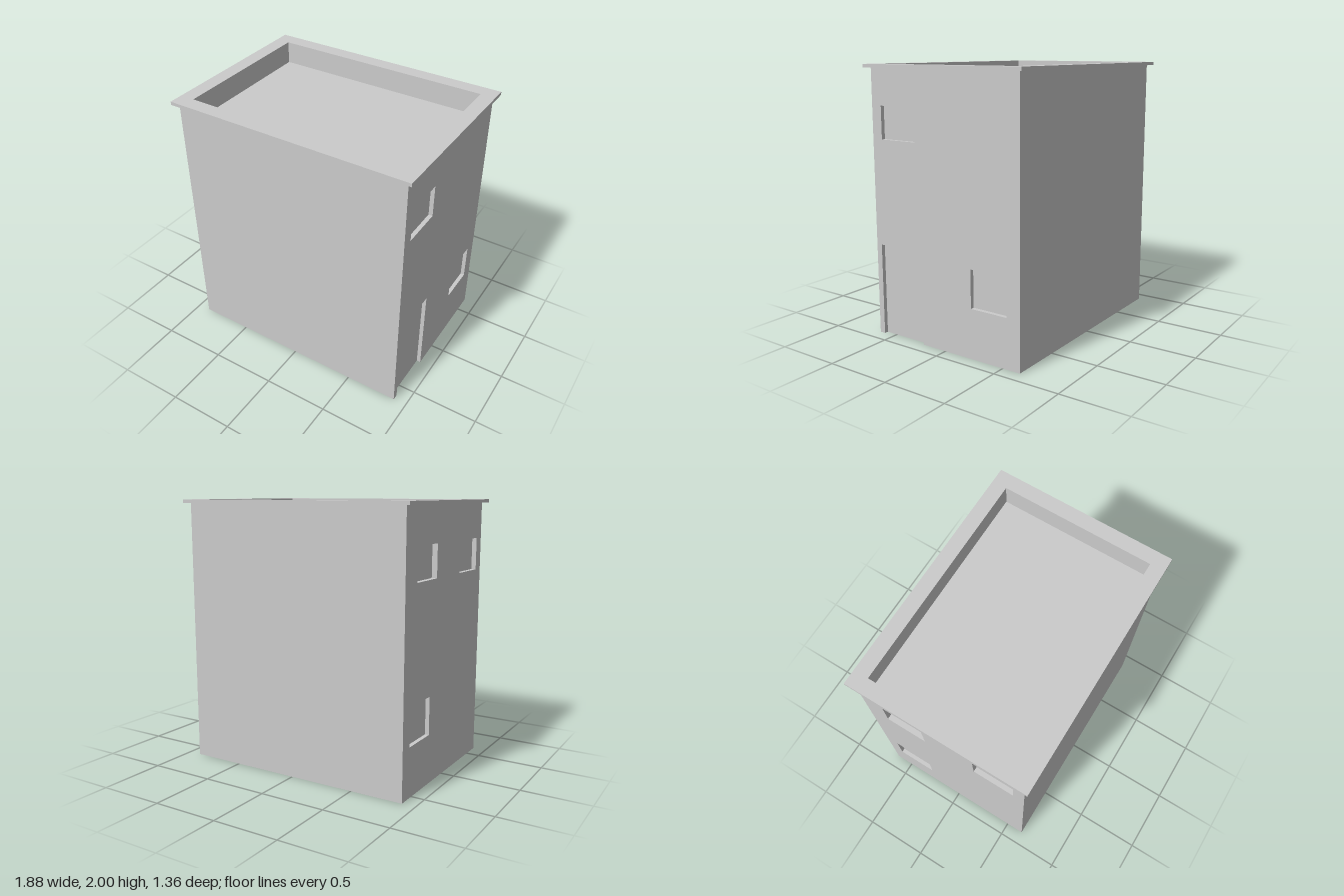
import * as THREE from 'three';

const W = 0.9, D = 0.64, EAVE = 1.975, TOP = 2; // half width, half depth, wall top, cap top
const material = new THREE.MeshStandardMaterial({ color: 0xcccccc, side: THREE.DoubleSide, flatShading: true });

function addMesh(parent, name, geometry) {
  const mesh = new THREE.Mesh(geometry, material);
  mesh.name = name;
  parent.add(mesh);
  return mesh;
}

function rectPoints(x0, y0, x1, y1) {
  return [[x0, y0], [x1, y0], [x1, y1], [x0, y1]].map(([x, y]) => new THREE.Vector2(x, y));
}

// Open-fronted niche sunk behind the local z = 0 plane
function addRecess(parent, name, { x0, y0, x1, y1, depth, open = false }) {
  const w = x1 - x0, h = y1 - y0, cx = (x0 + x1) / 2, cy = (y0 + y1) / 2;
  const group = new THREE.Group();
  group.name = name;
  parent.add(group);
  addMesh(group, name + 'Panel', new THREE.PlaneGeometry(w, h)).position.set(cx, cy, -depth);
  for (const side of [-1, 1]) {
    const jamb = addMesh(group, name + 'Jamb', new THREE.PlaneGeometry(depth, h));
    jamb.rotation.y = -side * Math.PI / 2;
    jamb.position.set(cx + side * w / 2, cy, -depth / 2);
    if (open && side < 0) continue; // a doorway has no sill
    const edge = addMesh(group, name + (side < 0 ? 'Sill' : 'Head'), new THREE.PlaneGeometry(w, depth));
    edge.rotation.x = side * Math.PI / 2;
    edge.position.set(cx, cy + side * h / 2, -depth / 2);
  }
}

// Wall panel facing local +z, with recessed windows and an optional door
function addWall(parent, name, halfWidth, distance, angle, windows = [], door = null) {
  const group = new THREE.Group();
  group.name = name;
  const outline = rectPoints(-halfWidth, 0, halfWidth, EAVE);
  if (door) {
    const [a, b, c, d] = rectPoints(door.x0, door.y0, door.x1, door.y1);
    outline.splice(1, 0, a, d, c, b);
    addRecess(group, 'door', door);
  }
  const shape = new THREE.Shape(outline);
  for (const win of windows) {
    shape.holes.push(new THREE.Path(rectPoints(win.x0, win.y0, win.x1, win.y1).reverse()));
    addRecess(group, 'window', win);
  }
  addMesh(group, name + 'Panel', new THREE.ShapeGeometry(shape));
  group.rotation.y = angle;
  group.position.set(Math.sin(angle) * distance, 0, Math.cos(angle) * distance);
  parent.add(group);
}

export function createModel() {
  const model = new THREE.Group();
  model.name = 'house';

  // Plain front and back walls
  addWall(model, 'frontWall', W, D, 0);
  addWall(model, 'backWall', W, D, Math.PI);

  // Side wall with the door (local x runs towards -z)
  addWall(model, 'doorWall', D, W, Math.PI / 2, [
    { x0: -0.555, y0: 1.47, x1: -0.24, y1: 1.71, depth: 0.03 },
    { x0: 0.235, y0: 0.365, x1: 0.535, y1: 0.645, depth: 0.03 },
  ], { x0: -0.595, y0: 0, x1: -0.205, y1: 0.69, depth: 0.03, open: true });

  // Side wall with three windows (local x runs towards +z)
  addWall(model, 'windowWall', D, W, -Math.PI / 2, [
    { x0: -0.47, y0: 1.47, x1: -0.16, y1: 1.71, depth: 0.04 },
    { x0: 0.24, y0: 1.47, x1: 0.555, y1: 1.71, depth: 0.035 },
    { x0: -0.54, y0: 0.365, x1: -0.235, y1: 0.645, depth: 0.03 },
  ]);

  // Overhanging cap ring and the sunken flat roof inside it
  const roof = new THREE.Group();
  roof.name = 'roof';
  roof.rotation.x = -Math.PI / 2;
  roof.position.y = EAVE;
  const ring = new THREE.Shape(rectPoints(-0.94, -0.68, 0.94, 0.68));
  ring.holes.push(new THREE.Path(rectPoints(-0.83, -0.57, 0.83, 0.57).reverse()));
  addMesh(roof, 'roofCap', new THREE.ExtrudeGeometry(ring, { depth: TOP - EAVE, bevelEnabled: false }));
  addRecess(roof, 'roofWell', { x0: -0.83, y0: -0.57, x1: 0.83, y1: 0.57, depth: 0.145 });
  model.add(roof);

  return model;
}
